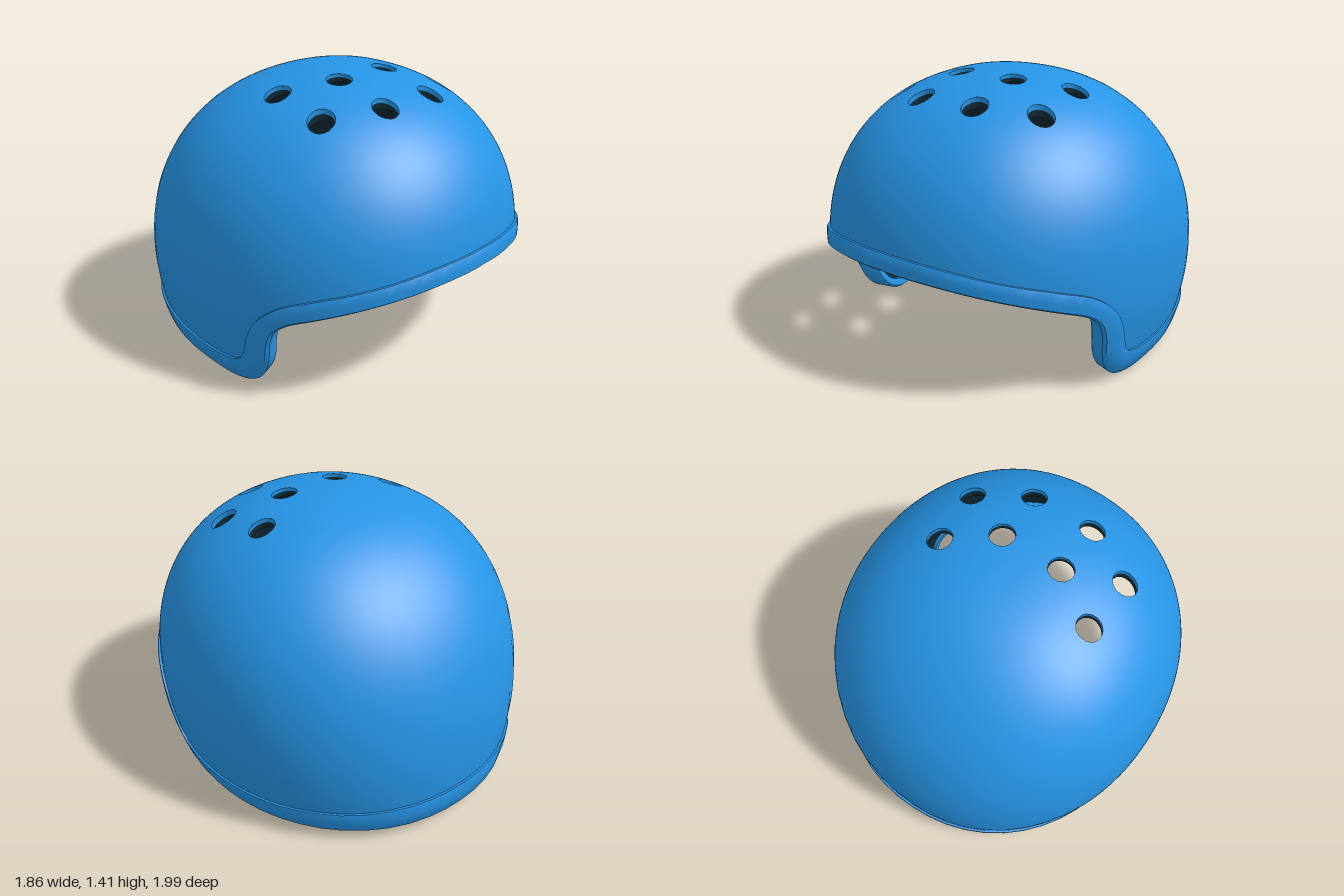
import * as THREE from 'three';
import { mergeVertices, toCreasedNormals } from 'three/addons/utils/BufferGeometryUtils.js';

const HOLE_R = 0.065;
const HOLES = [[0.42, 0.05], [0.165, 0.21], [0.44, 0.36], [0.168, 0.505]]
  .flatMap(([x, z]) => [[x, z], [-x, z]]);

// Rim outlines as [angle round the helmet in degrees, height]; 90 is the front, -90 the back
const LOWER = [[90, 0.607], [72, 0.592], [54, 0.543], [37, 0.468], [30, 0.424], [26.3, 0.37], [24.8, 0.3],
  [23.8, 0.2], [22, 0.12], [18, 0.045], [11.6, 0.002], [0, 0.012], [-30, 0.035], [-90, 0.048]];
const UPPER = [[90, 0.7], [72, 0.685], [54, 0.635], [37, 0.57], [28, 0.515], [21.3, 0.42], [18.3, 0.33],
  [16.3, 0.23], [14.8, 0.18], [12.5, 0.15], [8.5, 0.136], [0, 0.138], [-30, 0.17], [-90, 0.2]];
const STEPS = 9;

// Mirror an outline to the other side and sample it into a closed ring of columns
function ring(half) {
  const other = half.slice(0, -1).reverse().map(([p, y]) => [-180 - p, y]);
  const pts = [...half, ...other].map(([p, y]) => new THREE.Vector3(THREE.MathUtils.degToRad(p), y, 0));
  const curve = new THREE.CatmullRomCurve3(pts, false, 'centripetal');
  return curve.getPoints((pts.length - 1) * STEPS).slice(0, -1);
}
const lower = ring(LOWER);
const upper = ring(UPPER);
const between = (i, k) => lower[i].clone().lerp(upper[i], k);

// Shell surface: slightly squared half-ellipses front and back at each height.
// d is the depth below the outside at the rim; the crown is thinner.
const PLAN = 2.12;
const topOf = (d) => 1.41 - Math.max(d, 0) * 0.4;
function extent(y, size, centre, n, below, d) {
  const span = y > centre ? topOf(d) - centre : below;
  const e = y > centre ? n : 2;
  const q = Math.min(1, Math.abs(y - centre) / span);
  return (size - d) * Math.pow(1 - Math.pow(q, e), 1 / e);
}
const halfWidth = (y, d) => extent(y, 0.928, 0.5, 2.25, 1.15, d);
const halfDepth = (y, d, front) => front
  ? extent(y, 0.986, 0.5, 2.32, 1.4, d) : extent(y, 0.988, 0.3, 2.08, 1.4, d);
const planSum = (u, v) => Math.abs(u) ** PLAN + Math.abs(v) ** PLAN;

function surface(phi, y, d) {
  const c = Math.cos(phi), s = Math.sin(phi);
  const k = planSum(c, s) ** (-1 / PLAN);
  return [halfWidth(y, d) * c * k, y, halfDepth(y, d, s > 0) * s * k];
}

// Height of the crown above a plan position
function heightAt(x, z, d) {
  let lo = 0.9, hi = topOf(d);
  for (let k = 0; k < 40; k++) {
    const y = (lo + hi) / 2;
    const inside = planSum(x / halfWidth(y, d), z / halfDepth(y, d, z > 0)) < 1;
    if (inside) lo = y; else hi = y;
  }
  return lo;
}

// Grid closed round the columns, leaving out triangles whose corners are all cut
function grid(cols, rows, point, flip = false, isCut = () => false) {
  const pos = [], index = [];
  for (let j = 0; j < rows; j++) for (let i = 0; i < cols; i++) pos.push(...point(i, j));
  const tri = (a, b, c) => {
    if (isCut(a) && isCut(b) && isCut(c)) return;
    index.push(a, flip ? c : b, flip ? b : c);
  };
  for (let j = 0; j < rows - 1; j++) {
    for (let i = 0; i < cols; i++) {
      const n = (i + 1) % cols;
      const a = j * cols + i, b = a + cols, c = j * cols + n, d = c + cols;
      tri(a, b, c);
      tri(c, b, d);
    }
  }
  const geo = new THREE.BufferGeometry();
  geo.setAttribute('position', new THREE.Float32BufferAttribute(pos, 3));
  geo.setIndex(index);
  return geo;
}

// Dome at one depth with the round vents cut out; edge points are moved onto the circles
function dome(d, reach, flip) {
  const cols = lower.length, rows = 60;
  const cut = new Set();
  const point = (i, j) => {
    const end = between(i, reach);
    const t = j / (rows - 1);
    const p = surface(end.x, topOf(d) - (topOf(d) - end.y) * t * t, d);
    if (p[1] < 1) return p;
    for (const [hx, hz] of HOLES) {
      const dx = p[0] - hx, dz = p[2] - hz, r = Math.hypot(dx, dz);
      if (r >= HOLE_R) continue;
      const k = HOLE_R / Math.max(r, 1e-6);
      const x = hx + dx * k, z = hz + dz * k;
      cut.add(j * cols + i);
      return [x, heightAt(x, z, d), z];
    }
    return p;
  };
  const geo = mergeVertices(grid(cols, rows, point, flip, (v) => cut.has(v)), 1e-5);
  geo.computeVertexNormals();
  return geo;
}

export function createModel() {
  const group = new THREE.Group();
  const blue = new THREE.MeshStandardMaterial({ color: 0x2694e5 });
  blue.name = 'shell blue';
  const dark = new THREE.MeshStandardMaterial({ color: 0x112a35 });
  dark.name = 'lining dark';
  const add = (name, geo, mat) => {
    const mesh = new THREE.Mesh(geo, mat);
    mesh.name = name;
    group.add(mesh);
  };
  const SHELL = 0.04, LINING = 0.09;

  add('shell', dome(0, 0.15, false), blue);
  add('lining', dome(LINING, 0.3, true), dark);

  // Raised edge trim: [place between lower and upper outline, depth]
  const section = [[1, 0.004], [1, -0.011], [0.95, -0.014], [0.5, -0.014], [0.12, -0.012], [0, 0.002],
    [0, 0.09], [0.08, 0.108], [0.36, 0.112], [0.38, 0.08]];
  const trim = grid(lower.length, section.length, (i, j) => {
    const [k, d] = section[j];
    const p = between(i, k);
    return surface(p.x, p.y, d);
  });
  add('edgeTrim', toCreasedNormals(trim, 0.7), blue);

  // Walls of the vents, first through the shell and then through the lining
  const ventWall = ([hx, hz], from, to) => {
    const wall = grid(24, 2, (i, j) => {
      const a = (i / 24) * Math.PI * 2;
      const x = hx + HOLE_R * Math.cos(a), z = hz + HOLE_R * Math.sin(a);
      return [x, heightAt(x, z, j ? to : from), z];
    });
    wall.computeVertexNormals();
    return wall;
  };
  HOLES.forEach((hole, n) => {
    add('ventWall' + (n + 1), ventWall(hole, 0, SHELL), blue);
    add('ventLining' + (n + 1), ventWall(hole, SHELL, LINING), dark);
  });
  return group;
}
